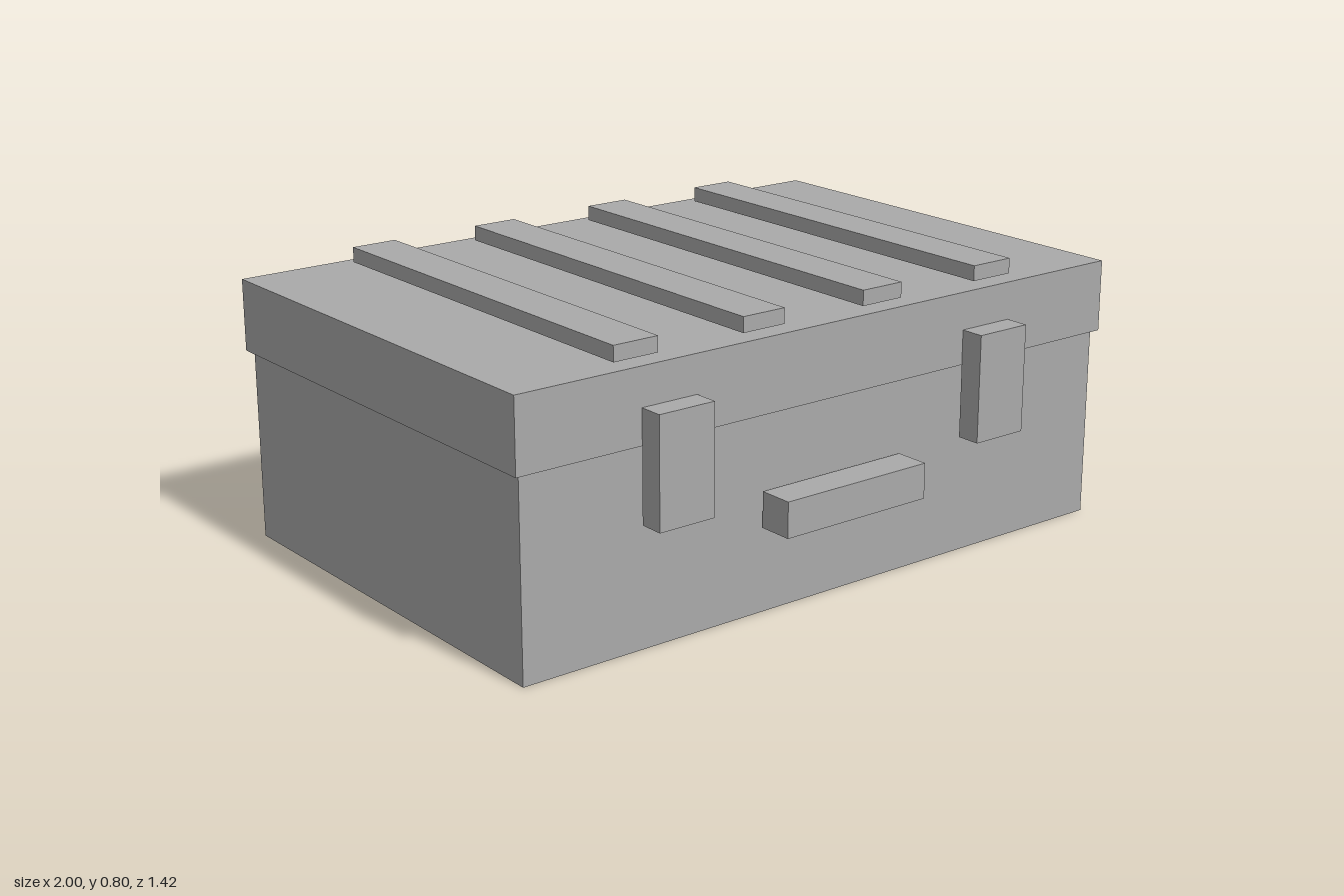
import * as THREE from 'three';

export function createModel() {
  const model = new THREE.Group();
  model.name = 'trunk';

  const grey = new THREE.MeshStandardMaterial({ color: 0xaaaaaa });
  grey.name = 'grey';

  // Box given by its extents: centre x, width, y range, z range
  function addBox(name, x, width, y0, y1, z0, z1) {
    const mesh = new THREE.Mesh(new THREE.BoxGeometry(width, y1 - y0, z1 - z0), grey);
    mesh.position.set(x, (y0 + y1) / 2, (z0 + z1) / 2);
    mesh.name = name;
    model.add(mesh);
  }

  // Case and overhanging lid
  addBox('body', 0, 1.966, 0, 0.547, -0.692, 0.598);
  addBox('lid', 0, 2, 0.547, 0.751, -0.708, 0.613);

  // Four slats running front to back, just above the lid
  for (let i = 0; i < 4; i++) {
    addBox('lidSlat' + (i + 1), (i - 1.5) * 0.406, 0.136, 0.757, 0.8, -0.659, 0.564);
  }

  // Front latches and carrying handle
  addBox('rightLatch', -0.543, 0.171, 0.34, 0.645, 0.613, 0.682);
  addBox('leftLatch', 0.543, 0.171, 0.34, 0.645, 0.613, 0.682);
  addBox('handle', 0, 0.477, 0.239, 0.339, 0.608, 0.708);

  return model;
}
